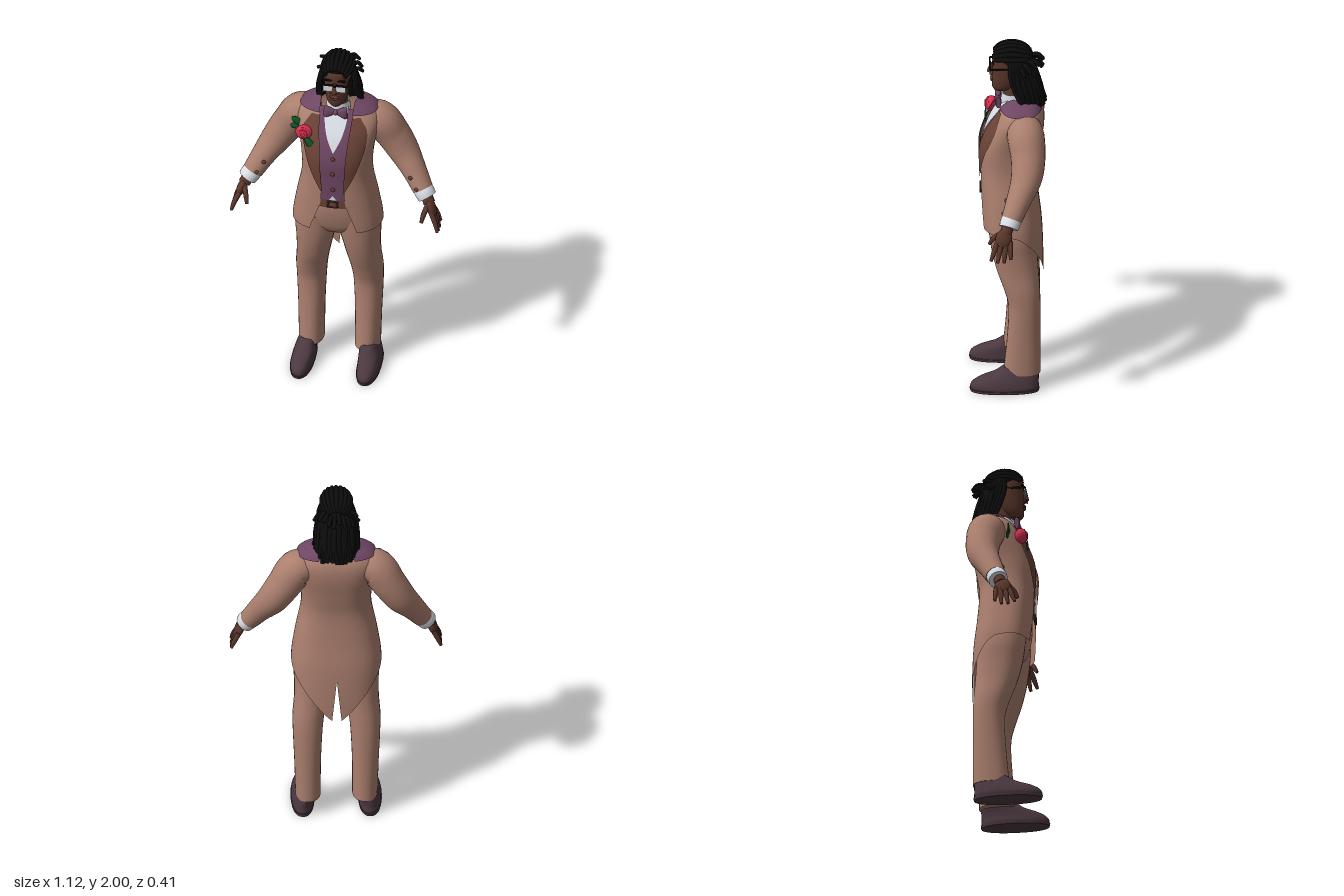
import * as THREE from 'three';

const V = (x, y, z) => new THREE.Vector3(x, y, z);
const lerp = THREE.MathUtils.lerp;
const paint = (name, color) => new THREE.MeshStandardMaterial({ name, color, side: THREE.DoubleSide });

// Smooth lookup in a table of rows [key, a, b, ...]
function sample(tab, k) {
  const n = tab.length - 1;
  k = Math.min(Math.max(k, tab[0][0]), tab[n][0]);
  let i = 0;
  while (i < n - 1 && k > tab[i + 1][0]) i++;
  const h = tab[i + 1][0] - tab[i][0], t = (k - tab[i][0]) / h;
  const slope = (j, c) => {
    const p = tab[Math.max(j - 1, 0)], q = tab[Math.min(j + 1, n)];
    return (q[c] - p[c]) / (q[0] - p[0]);
  };
  return tab[0].slice(1).map((_, m) => {
    const c = m + 1, a = tab[i][c], b = tab[i + 1][c];
    return a + (b - a) * t * t * (3 - 2 * t) + h * t * (1 - t) * ((1 - t) * slope(i, c) - t * slope(i + 1, c));
  });
}

// Skin over rows of points; wrap closes each row into a ring
function skin(rows, wrap) {
  const w = rows[0].length, pos = [], idx = [];
  rows.forEach(r => r.forEach(p => pos.push(p.x, p.y, p.z)));
  for (let i = 0; i < rows.length - 1; i++)
    for (let j = 0; j < (wrap ? w : w - 1); j++) {
      const a = i * w + j, b = i * w + (j + 1) % w;
      idx.push(a, a + w, b, b, a + w, b + w);
    }
  const g = new THREE.BufferGeometry();
  g.setAttribute('position', new THREE.Float32BufferAttribute(pos, 3));
  g.setIndex(idx);
  g.computeVertexNormals();
  return g;
}

function capped(rings) {
  const flat = r => { const c = V(0, 0, 0); r.forEach(p => c.addScaledVector(p, 1 / r.length)); return r.map(() => c.clone()); };
  const a = rings[0], b = rings[rings.length - 1];
  return skin([flat(a), a, ...rings, b, flat(b)], true);
}

const se = (v, n) => Math.sign(v) * Math.abs(v) ** (2 / n);

// Upright solid from rows [y, centreX, halfWidth, frontZ, backZ]
function column(rows, n = 2.3, steps = 28, seg = 28) {
  const rings = [];
  for (let i = 0; i <= steps; i++) {
    const y = lerp(rows[0][0], rows[rows.length - 1][0], i / steps);
    const [xc, rx, zf, zb] = sample(rows, y), r = [];
    for (let j = 0; j < seg; j++) {
      const a = j / seg * Math.PI * 2;
      r.push(V(xc + rx * se(Math.cos(a), n), y, (zf + zb) / 2 + (zf - zb) / 2 * se(Math.sin(a), n)));
    }
    rings.push(r);
  }
  return capped(rings);
}

// Tapered tube through points [x, y, z, radius]
function sweep(pts, steps = 10, seg = 8, ref = V(0, 0, 1)) {
  const curve = new THREE.CatmullRomCurve3(pts.map(p => V(p[0], p[1], p[2])));
  const radii = pts.map((p, i) => [i, p[3]]), rings = [];
  for (let i = 0; i <= steps; i++) {
    const k = i / steps, c = curve.getPoint(k), t = curve.getTangent(k);
    const r = sample(radii, k * (pts.length - 1))[0];
    const v = ref.clone().addScaledVector(t, -ref.dot(t)).normalize(), u = t.clone().cross(v), ring = [];
    for (let j = 0; j < seg; j++) {
      const a = j / seg * Math.PI * 2;
      ring.push(c.clone().addScaledVector(u, r * Math.cos(a)).addScaledVector(v, r * Math.sin(a)));
    }
    rings.push(ring);
  }
  return capped(rings);
}

// Torso outline of the coat: [y, halfWidth, frontZ, backZ]
const N = 2.6;
const TORSO = [[0.63, 0.23, 0.12, -0.182], [0.8, 0.233, 0.135, -0.18], [0.95, 0.238, 0.145, -0.172], [1.1, 0.217, 0.148, -0.155],
  [1.27, 0.186, 0.152, -0.145], [1.4, 0.19, 0.154, -0.165], [1.52, 0.212, 0.115, -0.185], [1.6, 0.22, 0.068, -0.183],
  [1.65, 0.18, 0.035, -0.16], [1.685, 0.095, 0.0, -0.12]];
const FRONT_EDGE = [[0.63, 0.14], [0.94, 0.125], [1.05, 0.09], [1.13, 0.066], [1.25, 0.06], [1.4, 0.07], [1.5, 0.076], [1.6, 0.088], [1.685, 0.088]];
const HEM = [[0, 0.63], [0.175, 0.745], [0.39, 0.865], [0.58, 0.938], [1, 0.942]];

function bodyPoint(a, y, grow = 0) {
  const [rx, zf, zb] = sample(TORSO, y);
  return V((rx + grow) * se(Math.cos(a), N), y, (zf + zb) / 2 + ((zf - zb) / 2 + grow) * se(Math.sin(a), N));
}
function angleAt(x, y) {
  return Math.acos(Math.min(x / sample(TORSO, y)[0], 0.97) ** (N / 2));
}
function frontZ(x, y) {
  const [rx, zf, zb] = sample(TORSO, y);
  return (zf + zb) / 2 + (zf - zb) / 2 * (1 - Math.min(Math.abs(x) / rx, 0.98) ** N) ** (1 / N);
}
// Thin panel lying on the chest: rows [y, xLow, xHigh]
function panel(rows, off, steps = 16, cols = 10) {
  const out = [];
  for (let i = 0; i <= steps; i++) {
    const y = lerp(rows[0][0], rows[rows.length - 1][0], i / steps), [lo, hi] = sample(rows, y), r = [];
    for (let j = 0; j <= cols; j++) {
      const x = lerp(hi, lo, j / cols);
      r.push(V(x, y, frontZ(x, y) + off));
    }
    out.push(r);
  }
  return skin(out, false);
}
function gridOf(nv, nu, f) {
  return skin(Array.from({ length: nv + 1 }, (_, i) => Array.from({ length: nu + 1 }, (_, j) => f(j / nu, i / nv))), false);
}

export function createModel() {
  const model = new THREE.Group();
  model.name = 'manInTailcoat';
  const coat = paint('tan cloth', 0xab7f6e), lapel = paint('brown satin', 0x6a4236), vest = paint('plum cloth', 0x6e4663),
    shirt = paint('white linen', 0xdde2ea), flesh = paint('dark skin', 0x5a362b), hair = paint('black hair', 0x0d0d0e),
    leather = paint('shoe leather', 0x4b3840), red = paint('rose red', 0xd92f50), green = paint('leaf green', 0x10592d);

  const add = (name, geo, mat) => {
    const m = new THREE.Mesh(geo, mat);
    m.name = name;
    model.add(m);
    return m;
  };
  const both = (name, geo, mat) => {
    const g = geo.clone().scale(-1, 1, 1);
    g.setIndex(Array.from(geo.index.array).reverse());
    add('left ' + name, geo, mat);
    add('right ' + name, g, mat);
  };
  const ball = (p, s, seg = 16) => new THREE.SphereGeometry(1, seg, Math.ceil(seg * 0.7)).scale(...s).translate(...p);
  const box = (p, s) => new THREE.BoxGeometry(...s).translate(...p);

  // Shoes and trousers
  both('shoe', column([[0, 0.175, 0.056, 0.198, -0.15], [0.025, 0.177, 0.061, 0.206, -0.156], [0.05, 0.176, 0.058, 0.195, -0.155],
    [0.075, 0.172, 0.054, 0.155, -0.156], [0.1, 0.166, 0.05, 0.085, -0.155], [0.135, 0.16, 0.045, 0.03, -0.14]]), leather);
  both('shoe sole', column([[0, 0.177, 0.061, 0.205, -0.157], [0.016, 0.177, 0.064, 0.209, -0.16]], 2.3, 2), leather);
  both('trouser leg', column([[0.1, 0.15, 0.067, 0.03, -0.165], [0.3, 0.152, 0.07, 0.012, -0.165], [0.5, 0.152, 0.078, 0.005, -0.165],
    [0.6, 0.148, 0.084, 0.03, -0.162], [0.7, 0.135, 0.089, 0.065, -0.155], [0.8, 0.124, 0.099, 0.09, -0.15],
    [0.9, 0.116, 0.112, 0.105, -0.148], [1, 0.11, 0.108, 0.115, -0.14]], 2.2, 40), coat);
  add('trouser hips', column([[0.87, 0, 0.06, 0.05, -0.1], [0.9, 0, 0.13, 0.085, -0.13], [0.95, 0, 0.21, 0.11, -0.15],
    [1.05, 0, 0.2, 0.13, -0.142], [1.16, 0, 0.17, 0.132, -0.13]]), coat);

  // Tailcoat halves: open front, cut-away hem, vent between the tails
  both('coat half', gridOf(48, 36, (u, v) => {
    const y = lerp(sample(HEM, u)[0], 1.685, v);
    const back = -angleAt(Math.max(0, 0.88 - y) * 0.1, y), front = angleAt(sample(FRONT_EDGE, y)[0], y);
    return bodyPoint(lerp(back, front, u), y);
  }), coat);
  both('lapel', panel([[1.21, 0.056, 0.064], [1.3, 0.062, 0.108], [1.4, 0.068, 0.145], [1.5, 0.075, 0.17],
    [1.57, 0.082, 0.168], [1.63, 0.088, 0.13]], 0.008, 24), lapel);
  both('plum collar', gridOf(6, 20, (u, v) => {
    const y = lerp(1.632, 1.685, v);
    return bodyPoint(lerp(-1.2, angleAt(0.085, y), u), y, 0.006).add(V(0, 0.01, 0));
  }), vest);

  // Sleeves, cuffs and sleeve buttons
  both('sleeve', sweep([[0.12, 1.56, -0.08, 0.075], [0.205, 1.55, -0.085, 0.098], [0.275, 1.455, -0.098, 0.092],
    [0.335, 1.36, -0.09, 0.083], [0.4, 1.265, -0.05, 0.066], [0.455, 1.175, -0.01, 0.055]], 32, 24), coat);
  both('shirt cuff', sweep([[0.445, 1.19, -0.016, 0.05], [0.465, 1.162, -0.003, 0.054], [0.482, 1.138, 0.006, 0.051]], 6, 20), shirt);
  both('upper sleeve button', ball([0.392, 1.255, 0.02], [0.012, 0.012, 0.008], 10), lapel);
  both('lower sleeve button', ball([0.428, 1.195, 0.035], [0.012, 0.012, 0.008], 10), lapel);

  // Hands
  both('wrist', sweep([[0.47, 1.165, 0.002, 0.03], [0.495, 1.11, 0.022, 0.032]], 4, 12), flesh);
  both('palm', ball([0, 0, 0], [0.024, 0.056, 0.044]).rotateZ(0.35).rotateX(-0.25).translate(0.508, 1.088, 0.032), flesh);
  for (let k = 0; k < 4; k++) {
    const tipY = [0.978, 0.966, 0.966, 0.985][k];
    both('finger ' + (k + 1), sweep([[0.512, 1.075, 0.064 - 0.022 * k, 0.014], [0.537, 1.025, 0.083 - 0.029 * k, 0.0135],
      [0.552, tipY, 0.1 - 0.035 * k, 0.008]], 8, 8), flesh);
  }
  both('thumb', sweep([[0.492, 1.11, 0.045, 0.016], [0.476, 1.075, 0.085, 0.014], [0.467, 1.035, 0.107, 0.009]], 8, 8), flesh);

  // Waistcoat, shirt front, belt
  add('waistcoat', panel([[1.135, -0.09, 0.09], [1.25, -0.085, 0.085], [1.5, -0.1, 0.1], [1.66, -0.1, 0.1]], -0.01, 24, 16), vest);
  add('shirt front', panel([[1.45, -0.002, 0.002], [1.52, -0.036, 0.036], [1.6, -0.058, 0.058], [1.67, -0.06, 0.06]], -0.004), shirt);
  add('shirt tail', panel([[1.14, -0.026, 0.026], [1.175, -0.001, 0.001]], -0.005, 4), shirt);
  add('belt', panel([[1.1, -0.085, 0.085], [1.148, -0.08, 0.08]], -0.004, 4), lapel);
  const buckle = new THREE.TorusGeometry(0.026, 0.005, 6, 4).rotateZ(Math.PI / 4).scale(1.3, 1, 1);
  add('belt buckle', buckle.translate(0, 1.124, 0.15), leather);
  for (const y of [1.215, 1.32, 1.415])
    add('waistcoat button', ball([0, y, frontZ(0, y) - 0.007], [0.012, 0.012, 0.007], 10), lapel);

  // Neck, collar and bow tie
  add('neck', new THREE.CylinderGeometry(0.05, 0.057, 0.17, 20).translate(0, 1.69, -0.025), flesh);
  add('shirt collar', new THREE.CylinderGeometry(0.06, 0.066, 0.065, 24, 1, true).translate(0, 1.668, -0.022), shirt);
  both('bow wing', column([[-0.062, 0, 0.033, 0.013, -0.013], [-0.045, 0, 0.033, 0.018, -0.016], [-0.006, 0, 0.013, 0.01, -0.01]], 2.6, 8, 16)
    .rotateZ(Math.PI / 2).translate(0, 1.662, 0.056), vest);
  add('bow knot', ball([0, 1.662, 0.06], [0.014, 0.017, 0.016]), vest);

  // Buttonhole rose
  const rz = frontZ(0.165, 1.535) + 0.018;
  add('rose', ball([-0.163, 1.535, rz], [0.046, 0.041, 0.034]), red);
  for (const [r, d] of [[0.03, 0.02], [0.016, 0.031]])
    add('rose petals', new THREE.TorusGeometry(r, 0.007, 8, 20).translate(-0.163, 1.537, rz + d - 0.003), red);
  for (const [x, y, turn] of [[-0.208, 1.558, 0.9], [-0.128, 1.488, 3.7], [-0.212, 1.525, 1.9]])
    add('rose leaf', ball([0, 0, 0], [0.022, 0.04, 0.006], 8).rotateZ(turn).translate(x, y, frontZ(x, y) + 0.012), green);

  // Head and face
  add('head', column([[1.712, 0, 0.025, 0.078, 0.01], [1.73, 0, 0.046, 0.088, -0.03], [1.77, 0, 0.06, 0.09, -0.06], [1.82, 0, 0.068, 0.088, -0.08],
    [1.87, 0, 0.072, 0.086, -0.09], [1.92, 0, 0.072, 0.084, -0.09], [1.97, 0, 0.045, 0.045, -0.06]], 2.2), flesh);
  add('nose bridge', sweep([[0, 1.868, 0.084, 0.009], [0, 1.835, 0.099, 0.012], [0, 1.818, 0.102, 0.015]], 8, 10), flesh);
  both('nostril', ball([0.013, 1.815, 0.092], [0.011, 0.009, 0.012], 10), flesh);
  add('upper lip', ball([0, 1.783, 0.088], [0.027, 0.007, 0.011], 12), lapel);
  add('lower lip', ball([0, 1.771, 0.087], [0.023, 0.008, 0.012], 12), flesh);
  both('brow', box([0.035, 1.885, 0.083], [0.042, 0.008, 0.01]), hair);

  // Spectacles
  both('lens', box([0.034, 1.844, 0.1], [0.052, 0.036, 0.005]), shirt);
  both('lens rim', box([0.034, 1.865, 0.1], [0.06, 0.007, 0.009]), hair);
  both('temple arm', box([0.07, 1.863, 0.045], [0.006, 0.009, 0.115]), hair);
  add('spectacle bridge', box([0, 1.858, 0.102], [0.018, 0.007, 0.006]), hair);

  // Hair cap, cut back around the face
  const cap = ball([0, 1.9, -0.015], [0.083, 0.09, 0.106], 32), p = cap.attributes.position;
  for (let i = 0; i < p.count; i++)
    p.setZ(i, Math.min(p.getZ(i), lerp(0, 0.1, THREE.MathUtils.clamp((p.getY(i) - 1.89) / 0.05, 0, 1))));
  cap.computeVertexNormals();
  add('hair cap', cap, hair);
  add('hair mass', column([[1.665, 0, 0.095, -0.085, -0.18], [1.75, 0, 0.1, -0.045, -0.155], [1.85, 0, 0.088, -0.01, -0.13],
    [1.93, 0, 0.06, 0, -0.09]]), hair);

  // Locks: rows over the crown, a long curtain, short ends sticking out behind
  let seed = 7;
  const rnd = () => (seed = (seed * 16807) % 2147483647) / 2147483647 - 0.5;
  for (let k = -4; k <= 4; k++) {
    const phi = k * 0.32, pts = [];
    for (let i = 0; i <= 6; i++) {
      const th = lerp(0.5, 2.9, i / 6);
      pts.push([0.081 * Math.sin(phi) * Math.sin(th) ** 0.6, 1.9 + 0.088 * Math.sin(th) * Math.cos(phi), -0.015 + 0.104 * Math.cos(th), 0.012]);
    }
    add('crown lock', sweep(pts, 16, 7, V(1, 0, 0)), hair);
  }
  for (let k = 0; k < 30; k++) {
    const a = lerp(-0.1, Math.PI + 0.1, k / 29), c = Math.cos(a), s = Math.sin(a), j = rnd() * 0.02;
    add('long lock', sweep([[0.07 * c, 1.925, -0.02 - 0.08 * s, 0.013], [0.09 * c, 1.85, -0.02 - 0.11 * s, 0.016],
      [0.104 * c + j, 1.75, -0.045 - 0.115 * s, 0.017], [0.115 * c - j, 1.645 + rnd() * 0.04, -0.085 - 0.105 * s, 0.012]], 12, 7), hair);
  }
  for (let k = 0; k < 12; k++) {
    const a = lerp(0.25, Math.PI - 0.25, k / 11), c = Math.cos(a), s = Math.sin(a), y = 1.87 + rnd() * 0.07;
    add('short lock', sweep([[0.07 * c, y + 0.01, -0.03 - 0.08 * s, 0.012], [0.1 * c, y + 0.012, -0.04 - 0.115 * s, 0.012],
      [0.125 * c, y - 0.015 + rnd() * 0.04, -0.05 - 0.135 * s, 0.009]], 8, 7, V(0, 1, 0)), hair);
  }
  return model;
}
